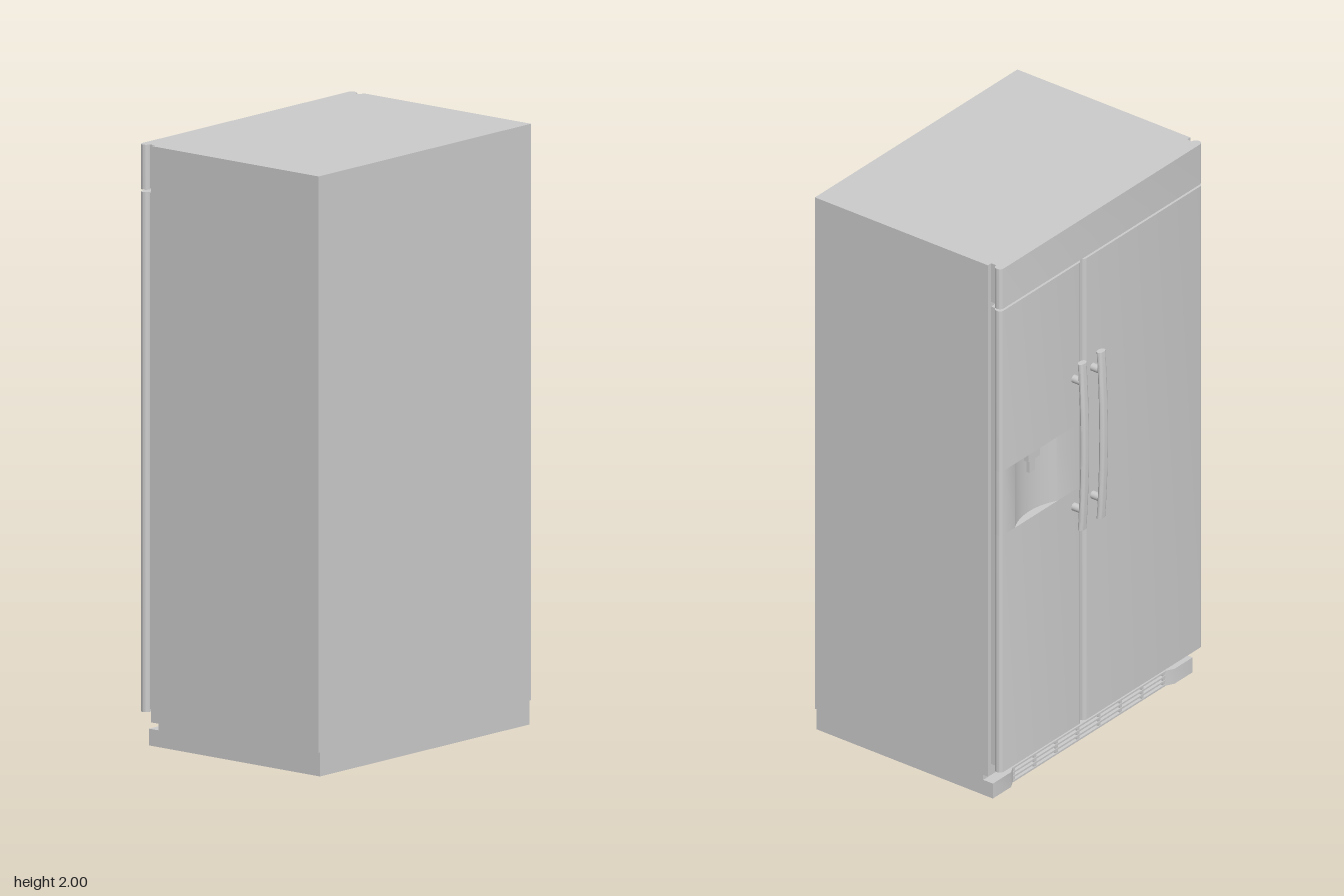
import * as THREE from 'three';
import { toCreasedNormals } from 'three/addons/utils/BufferGeometryUtils.js';

const material = new THREE.MeshStandardMaterial({ color: 0xcccccc });

export function createModel() {
  const root = new THREE.Group();
  root.name = 'refrigerator';

  function add(name, geometry, parent = root) {
    const mesh = new THREE.Mesh(geometry, material);
    mesh.name = name;
    parent.add(mesh);
    return mesh;
  }
  // Box given by its limits on each axis
  function box(name, x0, x1, y0, y1, z0, z1, parent) {
    const g = new THREE.BoxGeometry(x1 - x0, y1 - y0, z1 - z0);
    g.translate((x0 + x1) / 2, (y0 + y1) / 2, (z0 + z1) / 2);
    return add(name, g, parent);
  }
  // Plan outline (x, -z) raised from y0 to y1
  function raise(name, shape, y0, y1, parent) {
    const g = new THREE.ExtrudeGeometry(shape, { depth: y1 - y0, bevelEnabled: false, curveSegments: 12 });
    g.rotateX(-Math.PI / 2);
    g.translate(0, y0, 0);
    return add(name, toCreasedNormals(g, 0.6), parent);
  }

  // Door plan: flat slab with round side edges and an optional curved hollow
  const BACK = 0.325, FRONT = 0.358;
  function slab(x0, x1, hollow) {
    const r = (FRONT - BACK) / 2, mid = (FRONT + BACK) / 2;
    const s = new THREE.Shape();
    s.moveTo(x0 + r, BACK);
    s.lineTo(x1 - r, BACK);
    s.absarc(x1 - r, mid, r, -Math.PI / 2, Math.PI / 2, false);
    if (hollow) {
      const half = (hollow.x1 - hollow.x0) / 2, cx = (hollow.x0 + hollow.x1) / 2;
      const R = (half * half + hollow.depth ** 2) / (2 * hollow.depth);
      const a = Math.asin(half / R);
      s.lineTo(hollow.x1, FRONT);
      s.absarc(cx, FRONT - hollow.depth + R, R, -Math.PI / 2 + a, -Math.PI / 2 - a, true);
    }
    s.lineTo(x0 + r, FRONT);
    s.absarc(x0 + r, mid, r, Math.PI / 2, Math.PI * 1.5, false);
    return s;
  }

  // Cabinet and plinth
  box('cabinet', -0.532, 0.532, 0.08, 2, -0.305, 0.412);
  box('plinth', -0.525, 0.525, 0, 0.08, -0.28, 0.412);

  // Seals between cabinet and front panels
  const seam = 0.1;
  box('topPanelSeal', -0.515, 0.515, 1.855, 2, -0.326, -0.304);
  box('wideDoorSeal', -0.515, seam - 0.018, 0.12, 1.838, -0.326, -0.304);
  box('narrowDoorSeal', seam + 0.018, 0.515, 0.12, 1.838, -0.326, -0.304);

  // Front panels
  raise('topPanel', slab(-0.532, 0.532), 1.85, 2);
  raise('wideDoor', slab(-0.532, seam - 0.004), 0.11, 1.842);

  // Narrow door, hollowed in the middle for the dispenser
  const door = new THREE.Group();
  door.name = 'narrowDoor';
  root.add(door);
  const hollow = { x0: 0.232, x1: 0.458, depth: 0.03 };
  const plain = slab(seam + 0.004, 0.532);
  raise('doorLower', plain, 0.11, 1.0, door);
  raise('doorDispenserHollow', slab(seam + 0.004, 0.532, hollow), 1.0, 1.24, door);
  raise('doorUpper', plain, 1.24, 1.842, door);

  // Dispenser spout and lever
  box('dispenserSpout', 0.315, 0.375, 1.205, 1.24, -0.349, -0.325, door);
  box('dispenserLever', 0.331, 0.359, 1.155, 1.205, -0.341, -0.325, door);

  // Bowed handles on two posts
  for (const x of [0.048, 0.147]) {
    const handle = new THREE.Group();
    handle.name = 'handle';
    handle.position.set(x, 1.18, 0);
    root.add(handle);
    const half = 0.312;
    const bar = new THREE.CylinderGeometry(0.018, 0.018, half * 2, 20, 20);
    bar.scale(1, 1, 0.62);
    const p = bar.attributes.position;
    for (let i = 0; i < p.count; i++) {
      const t = p.getY(i) / half;
      p.setZ(i, p.getZ(i) - 0.392 - 0.011 * (1 - t * t));
    }
    bar.computeVertexNormals();
    add('handleBar', toCreasedNormals(bar, 0.7), handle);
    for (const y of [-0.24, 0.24]) {
      const post = new THREE.CylinderGeometry(0.014, 0.014, 0.042, 16);
      post.rotateX(Math.PI / 2);
      post.translate(0, y, -0.375);
      add('handlePost', post, handle);
    }
  }

  // Ventilation grille at the foot: corner blocks, slats and dividers
  const grille = new THREE.Group();
  grille.name = 'grille';
  root.add(grille);
  for (const s of [-1, 1]) {
    const corner = new THREE.Shape();
    corner.moveTo(s * 0.525, 0.27);
    corner.lineTo(s * 0.525, 0.32);
    corner.lineTo(s * 0.43, 0.32);
    corner.lineTo(s * 0.4, 0.304);
    corner.lineTo(s * 0.4, 0.27);
    raise('grilleCorner', corner, 0, 0.056, grille);
  }
  for (let i = 0; i < 4; i++) {
    const y = i * 0.0165;
    box('grilleSlat', -0.401, 0.401, y, y + 0.0065, -0.306, -0.278, grille);
  }
  for (let i = 0; i <= 7; i++) {
    const x = -0.395 + i * 0.79 / 7;
    box('grilleDivider', x - 0.006, x + 0.006, 0.001, 0.055, -0.304, -0.278, grille);
  }

  return root;
}
